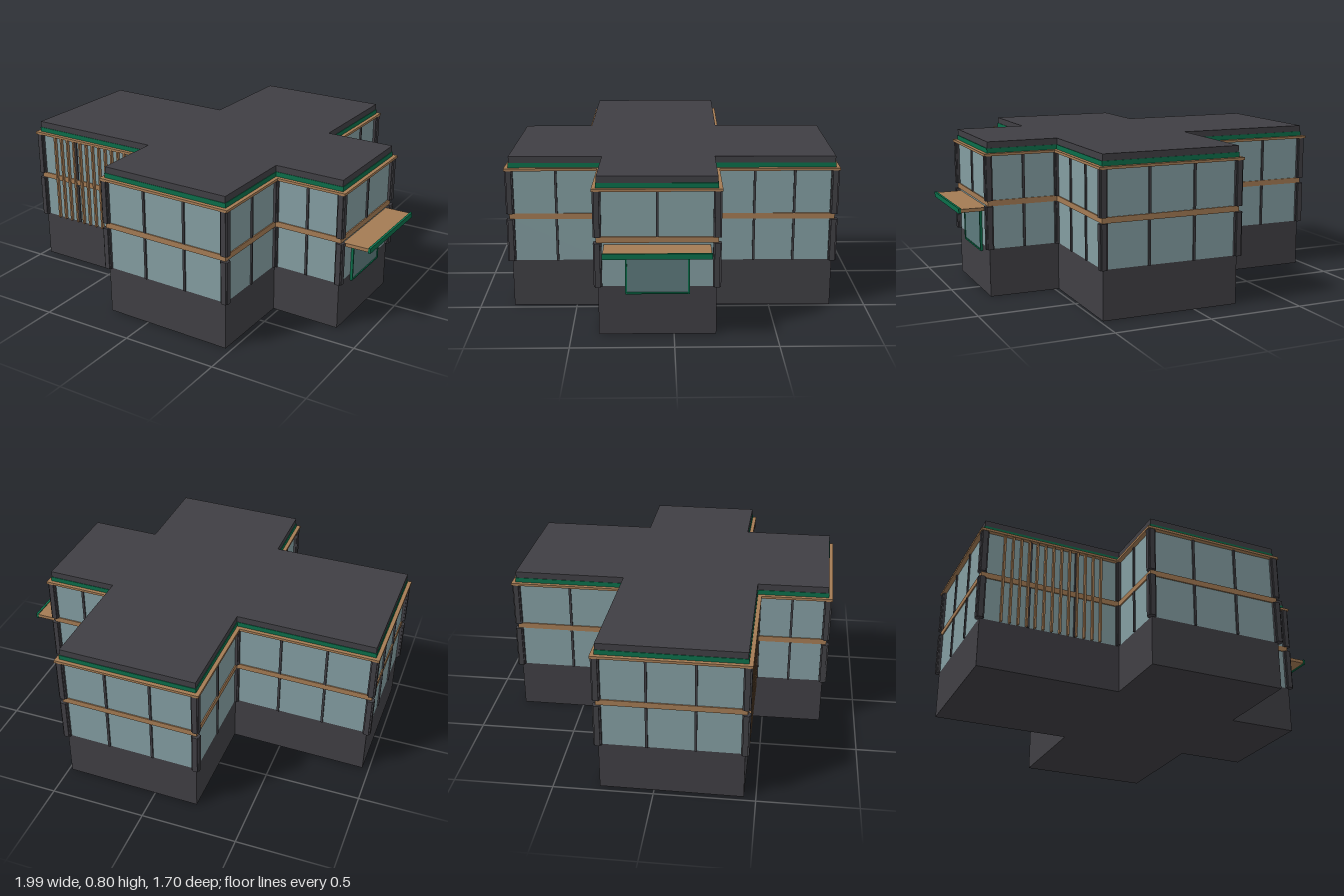
import * as THREE from 'three';

const material = (name, color) => {
  const m = new THREE.MeshStandardMaterial({ color });
  m.name = name;
  return m;
};

export function createModel() {
  const dark = material('charcoal', 0x403f44);
  const wood = material('wood', 0xa47b54);
  const green = material('green', 0x0b6e4a);
  const glass = material('glass', 0x839da1);
  const doorGlass = material('door glass', 0x5d7a7c);

  const model = new THREE.Group();
  model.name = 'building';

  // Cross-shaped plan as [x, z] corners, walked from the front wing with the outside on the right
  const plan = [
    [-0.235, 0.811], [0.469, 0.826], [0.473, 0.357], [0.842, 0.366],
    [0.847, -0.206], [0.478, -0.212], [0.484, -0.82], [-0.232, -0.831],
    [-0.237, -0.254], [-0.965, -0.27], [-0.972, 0.441], [-0.236, 0.447],
  ].map(([x, z]) => new THREE.Vector2(x, -z));
  const n = plan.length;

  // Plan pushed outward by d with mitred corners
  const normal = (a, b) => new THREE.Vector2(b.y - a.y, a.x - b.x).normalize();
  const outset = (d) => plan.map((p, i) => {
    const n1 = normal(plan[(i + n - 1) % n], p);
    const n2 = normal(p, plan[(i + 1) % n]);
    return p.clone().addScaledVector(n1.clone().add(n2), d / (1 + n1.dot(n2)));
  });

  // One horizontal layer of the building between two heights
  const layer = (name, y0, y1, d, mat) => {
    const geo = new THREE.ExtrudeGeometry(new THREE.Shape(outset(d)), { depth: y1 - y0, bevelEnabled: false });
    geo.rotateX(-Math.PI / 2);
    const mesh = new THREE.Mesh(geo, mat);
    mesh.name = name;
    mesh.position.y = y0;
    model.add(mesh);
  };
  layer('base', 0, 0.25, 0, dark);
  layer('lowerWindows', 0.25, 0.473, 0, glass);
  layer('floorBand', 0.473, 0.502, 0.006, wood);
  layer('upperWindows', 0.502, 0.73, 0, glass);
  layer('eaveTrim', 0.73, 0.743, 0.023, wood);
  layer('greenStripe', 0.743, 0.767, 0.003, green);
  layer('parapet', 0.767, 0.8, 0, dark);

  const box = (parent, name, mat, w, h, d, x, y, z) => {
    const mesh = new THREE.Mesh(new THREE.BoxGeometry(w, h, d), mat);
    mesh.name = name;
    mesh.position.set(x, y, z);
    parent.add(mesh);
  };
  const storeys = [[0.25, 0.473], [0.502, 0.73]];

  // Cross-section corner columns on both storeys
  for (const p of plan) {
    const column = new THREE.Group();
    column.name = 'cornerColumn';
    column.position.set(p.x, 0, -p.y);
    column.rotation.y = -0.016;
    for (const [y0, y1] of storeys) {
      box(column, 'columnShaft', dark, 0.04, y1 - y0, 0.026, 0, (y0 + y1) / 2, 0);
      box(column, 'columnShaft', dark, 0.026, y1 - y0, 0.04, 0, (y0 + y1) / 2, 0);
    }
    model.add(column);
  }

  // Each wall is a group with x along the wall and z pointing outward
  const walls = plan.map((a, i) => {
    const b = plan[(i + 1) % n];
    const wall = new THREE.Group();
    wall.name = 'wallDetails';
    wall.position.set((a.x + b.x) / 2, 0, -(a.y + b.y) / 2);
    wall.rotation.y = Math.atan2(b.y - a.y, b.x - a.x);
    model.add(wall);

    // Mullions dividing the wall into equal panes
    const length = a.distanceTo(b);
    const panes = Math.ceil(length / 0.295);
    for (let k = 1; k < panes; k++) {
      storeys.forEach(([y0, y1], s) => {
        if (i === 3 && s === 0) return; // the doorway takes this bay
        box(wall, 'mullion', dark, 0.012, y1 - y0, 0.012, (k / panes - 0.5) * length, (y0 + y1) / 2, 0.002);
      });
    }
    return wall;
  });

  // Vertical wooden fins on the front of the right wing
  for (let k = 0; k < 13; k++) {
    box(walls[10], 'fin', wood, 0.01, 0.48, 0.016, -0.263 + k * 0.0435, 0.49, 0.01);
  }

  // Doorway with green frame
  const entrance = walls[3];
  box(entrance, 'door', doorGlass, 0.295, 0.22, 0.012, 0, 0.332, 0.003);
  for (const side of [-1, 1]) {
    box(entrance, 'doorJamb', green, 0.009, 0.228, 0.018, side * 0.151, 0.327, 0.004);
  }
  box(entrance, 'doorSill', green, 0.311, 0.007, 0.018, 0, 0.2165, 0.004);
  box(entrance, 'doorHead', green, 0.311, 0.007, 0.018, 0, 0.437, 0.004);

  // Entrance canopy with green fascia
  box(entrance, 'canopy', wood, 0.51, 0.018, 0.138, 0, 0.453, 0.069);
  box(entrance, 'canopyFascia', green, 0.514, 0.027, 0.012, 0, 0.453, 0.141);

  return model;
}
